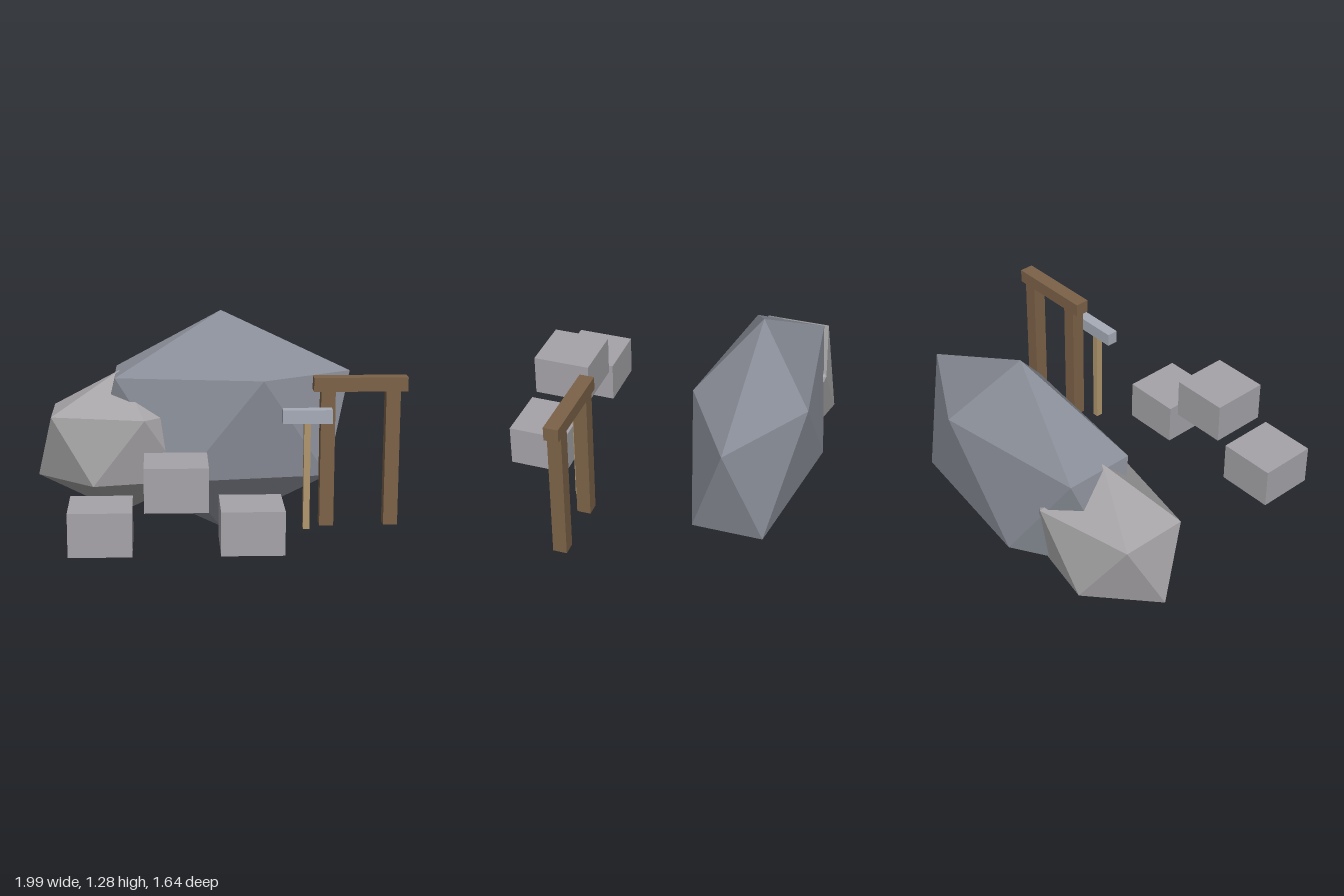
import * as THREE from 'three';
import { ConvexGeometry } from 'three/addons/geometries/ConvexGeometry.js';

const paint = (color, flatShading = false) => new THREE.MeshStandardMaterial({ color, flatShading });

// Box given by its extents along each axis
function block(name, material, [x0, x1], [y0, y1], [z0, z1]) {
  const mesh = new THREE.Mesh(new THREE.BoxGeometry(x1 - x0, y1 - y0, z1 - z0), material);
  mesh.name = name;
  mesh.position.set((x0 + x1) / 2, (y0 + y1) / 2, (z0 + z1) / 2);
  return mesh;
}

// Stretched icosahedron: two poles and two staggered rings of five corners
function rock(name, color, center, radii) {
  const points = [new THREE.Vector3(0, 1, 0), new THREE.Vector3(0, -1, 0)];
  const h = 1 / Math.sqrt(5);
  for (let i = 0; i < 5; i++) {
    const a = (i * Math.PI * 2) / 5;
    const x = Math.cos(a) * 2 * h, z = Math.sin(a) * 2 * h;
    points.push(new THREE.Vector3(x, h, z), new THREE.Vector3(-x, -h, -z));
  }
  const geometry = new ConvexGeometry(points);
  geometry.scale(...radii);
  const mesh = new THREE.Mesh(geometry, paint(color, true));
  mesh.name = name;
  mesh.position.set(...center);
  return mesh;
}

export function createModel() {
  const model = new THREE.Group();
  model.name = 'rockyCamp';

  // Boulders at the back
  model.add(rock('largeBoulder', 0x8a8e98, [0.05, 0.65, -0.51], [0.83, 0.64, 0.358]));
  model.add(rock('smallBoulder', 0xa6a4a6, [-0.53, 0.533, -0.473], [0.525, 0.42, 0.341]));

  // Stone blocks at the front, the middle one raised
  const stone = paint(0xa5a3a8);
  [[-0.76, 0.265], [-0.38, 0.49], [0, 0.265]].forEach(([x, y]) =>
    model.add(block('stoneBlock', stone, [x, x + 0.32], [y, y + 0.227], [0.51, 0.83])));

  // Timber gateway
  const gate = new THREE.Group();
  gate.name = 'gateway';
  const timber = paint(0x7c6248);
  for (const x of [0.54, 0.88])
    gate.add(block('gatePost', timber, [x, x + 0.075], [0.265, 0.99], [0.252, 0.327]));
  gate.add(block('gateBeam', timber, [0.502, 0.993], [0.988, 1.062], [0.25, 0.328]));
  model.add(gate);

  // Signpost beside the gateway
  const sign = new THREE.Group();
  sign.name = 'signpost';
  sign.add(block('signPole', paint(0xb0966d), [0.448, 0.482], [0.265, 0.838], [0.35, 0.387]));
  sign.add(block('signBoard', paint(0xa6acb8), [0.336, 0.594], [0.835, 0.907], [0.337, 0.399]));
  model.add(sign);

  return model;
}
